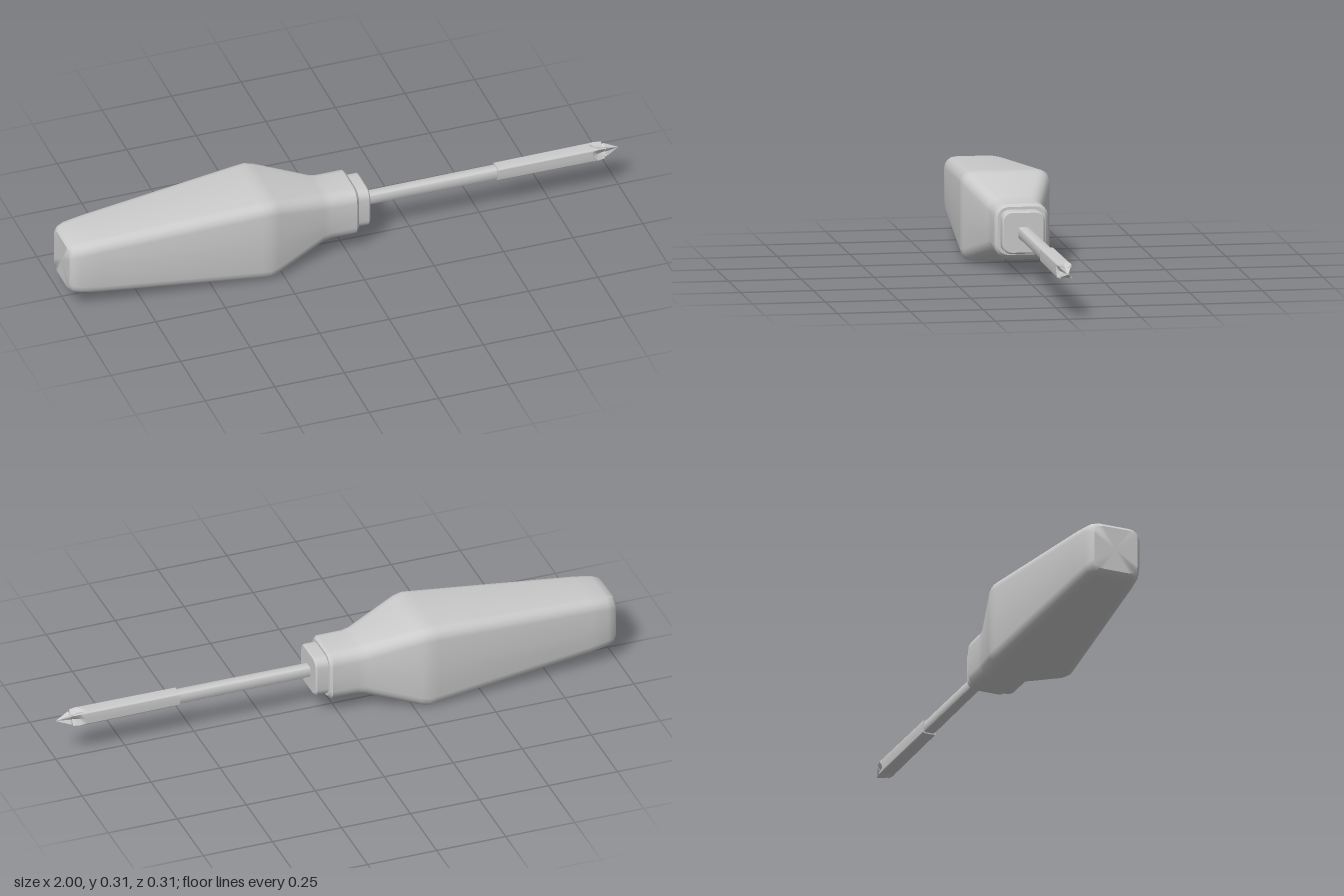
import * as THREE from 'three';
import { toCreasedNormals } from 'three/addons/utils/BufferGeometryUtils.js';

const AXIS_Y = 0.153;
const CORNER_STEPS = 4;

// Rounded-square ring in the YZ plane; notch pulls the middle of each face inward.
function ring(x, half, radius, notch = 0) {
  const points = [];
  for (let q = 0; q < 4; q++) {
    const start = q * Math.PI / 2;
    const c = half - radius;
    const centre = new THREE.Vector2(c, c).rotateAround(new THREE.Vector2(), start);
    for (let s = 0; s <= CORNER_STEPS; s++) {
      const a = start + (s / CORNER_STEPS) * Math.PI / 2;
      points.push([x, centre.x + radius * Math.cos(a), centre.y + radius * Math.sin(a)]);
    }
    const mid = start + Math.PI / 2, depth = half * (1 - notch);
    points.push([x, depth * Math.cos(mid), depth * Math.sin(mid)]);
  }
  return points;
}

// Skins sections [x, half width, corner radius, notch] along x and caps both ends.
function loft(name, sections, material, crease = 0.65) {
  const rings = sections.map((s) => ring(...s));
  const n = rings[0].length, last = rings.length - 1;
  const position = rings.flat(2);
  const index = [];
  for (let i = 0; i < last; i++) {
    for (let j = 0; j < n; j++) {
      const k = (j + 1) % n;
      const a = i * n + j, b = i * n + k, c = b + n, d = a + n;
      index.push(a, b, c, a, c, d);
    }
  }
  position.push(sections[0][0], 0, 0, sections[last][0], 0, 0);
  const first = rings.length * n;
  for (let j = 0; j < n; j++) {
    const k = (j + 1) % n;
    index.push(first, k, j, first + 1, last * n + j, last * n + k);
  }
  const geometry = new THREE.BufferGeometry();
  geometry.setAttribute('position', new THREE.Float32BufferAttribute(position, 3));
  geometry.setIndex(index);
  const mesh = new THREE.Mesh(toCreasedNormals(geometry, crease), material);
  mesh.name = name;
  mesh.position.y = AXIS_Y;
  return mesh;
}

export function createModel() {
  const group = new THREE.Group();
  group.name = 'screwdriver';
  const grey = new THREE.MeshStandardMaterial({ color: 0xcccccc });

  // Tapered grip, widest toward the front, narrowing to a straight neck
  group.add(loft('handle', [
    [-1, 0.08, 0.032],
    [-0.99, 0.091, 0.036],
    [-0.965, 0.099, 0.038],
    [-0.9, 0.106, 0.038],
    [-0.33, 0.151, 0.04],
    [-0.3, 0.153, 0.04],
    [-0.27, 0.148, 0.04],
    [-0.09, 0.095, 0.042],
    [-0.06, 0.091, 0.042],
    [0.03, 0.091, 0.042],
    [0.04, 0.082, 0.036],
  ], grey));

  // Small collar in front of the neck
  group.add(loft('collar', [
    [0.035, 0.073, 0.03],
    [0.08, 0.073, 0.03],
    [0.085, 0.068, 0.027],
  ], grey));

  // Slim shaft that thickens toward the bit
  group.add(loft('shaft', [
    [0.08, 0.019, 0.006],
    [0.56, 0.02, 0.006],
  ], grey));

  // Bit with fluted prongs
  group.add(loft('bit', [
    [0.56, 0.024, 0.006],
    [0.9, 0.025, 0.006],
    [0.92, 0.025, 0.004, 0.35],
    [0.945, 0.022, 0.003, 0.6],
  ], grey, 0.4));

  // Pointed cross tip
  group.add(loft('tip', [
    [0.94, 0.01, 0.002, 0.3],
    [0.95, 0.018, 0.002, 0.4],
    [1, 0.0006, 0.0001, 0.3],
  ], grey, 0.3));

  return group;
}
